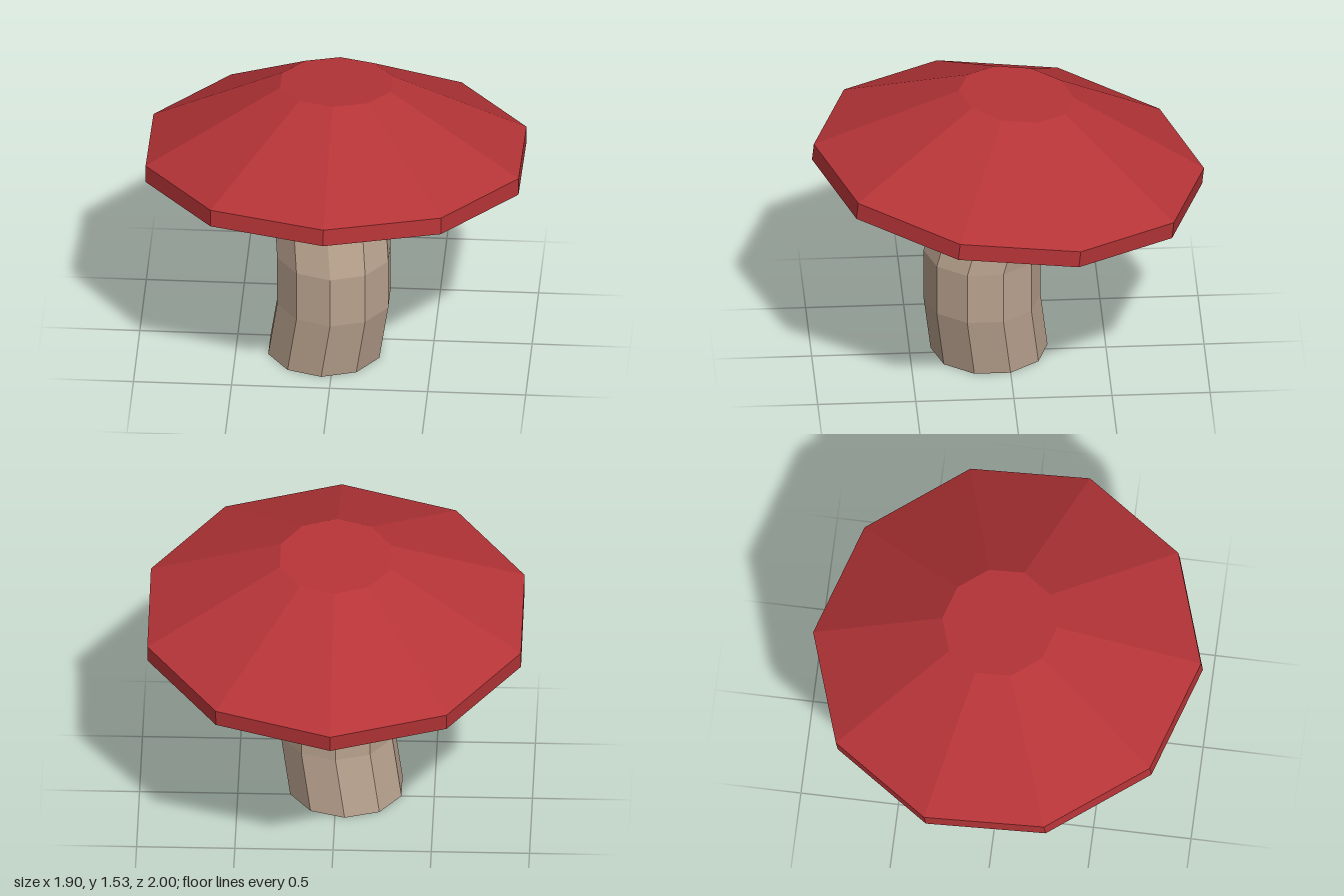
import * as THREE from 'three';

const SIDES = 10;
const RADIUS = 0.298;
const CAP_TILT = -0.105;
const CAP_CENTRE = new THREE.Vector3(0, 1.045, 0.004);
const HOLLOW = 0.19; // rise of the underside towards the stalk

// Ten-sided surface of revolution from [radius, height] pairs, listed bottom to top
function turned(points) {
  return new THREE.LatheGeometry(points.map(([r, y]) => new THREE.Vector2(r, y)), SIDES);
}

// Unshared corners give every facet its own flat normal
function part(name, geometry, material) {
  const flat = geometry.toNonIndexed();
  flat.computeVertexNormals();
  const mesh = new THREE.Mesh(flat, material);
  mesh.name = name;
  return mesh;
}

// Stalk with a closed foot, its rings placed along a bent centre line
function stalkGeometry(rings) {
  const geometry = turned([[0, 0], ...rings.map((_, i) => [RADIUS, i])]);
  const pos = geometry.attributes.position;
  const corner = new THREE.Vector3();
  for (let i = 0; i < pos.count; i++) {
    const { centre, tilt } = rings[Math.round(pos.getY(i))];
    corner.set(pos.getX(i), 0, pos.getZ(i));
    corner.applyAxisAngle(new THREE.Vector3(1, 0, 0), tilt).add(centre);
    pos.setXYZ(i, corner.x, corner.y, corner.z);
  }
  return geometry;
}

export function createModel() {
  const red = new THREE.MeshStandardMaterial({ color: 0xb53437 });
  red.name = 'cap red';
  const beige = new THREE.MeshStandardMaterial({ color: 0xb9a28e });
  beige.name = 'stalk beige';

  const model = new THREE.Group();
  model.name = 'mushroom';

  // Crooked stalk; the top ring tilts with the cap and meets its underside
  const rings = [
    [-0.05, 0, 0.093],
    [-0.002, 0.325, 0.132],
    [-0.002, 0.6, 0.132],
    [-0.026, 0.9, 0.047],
  ].map((c) => ({ centre: new THREE.Vector3(...c), tilt: 0 }));
  const neck = new THREE.Vector3(0, HOLLOW, 0)
    .applyAxisAngle(new THREE.Vector3(1, 0, 0), CAP_TILT)
    .add(CAP_CENTRE);
  rings.push({ centre: neck, tilt: CAP_TILT });
  model.add(part('stalk', stalkGeometry(rings), beige));

  // Cap: upright rim, sloping sides and flat crown over a hollow underside
  const cap = new THREE.Group();
  cap.name = 'cap';
  cap.add(part('capTop', turned([[1, 0], [1, 0.09], [0.296, 0.452], [0, 0.452]]), red));
  cap.add(part('capUnderside', turned([[RADIUS, HOLLOW], [1, 0]]), beige));
  cap.position.copy(CAP_CENTRE);
  cap.rotation.x = CAP_TILT;
  model.add(cap);

  return model;
}
